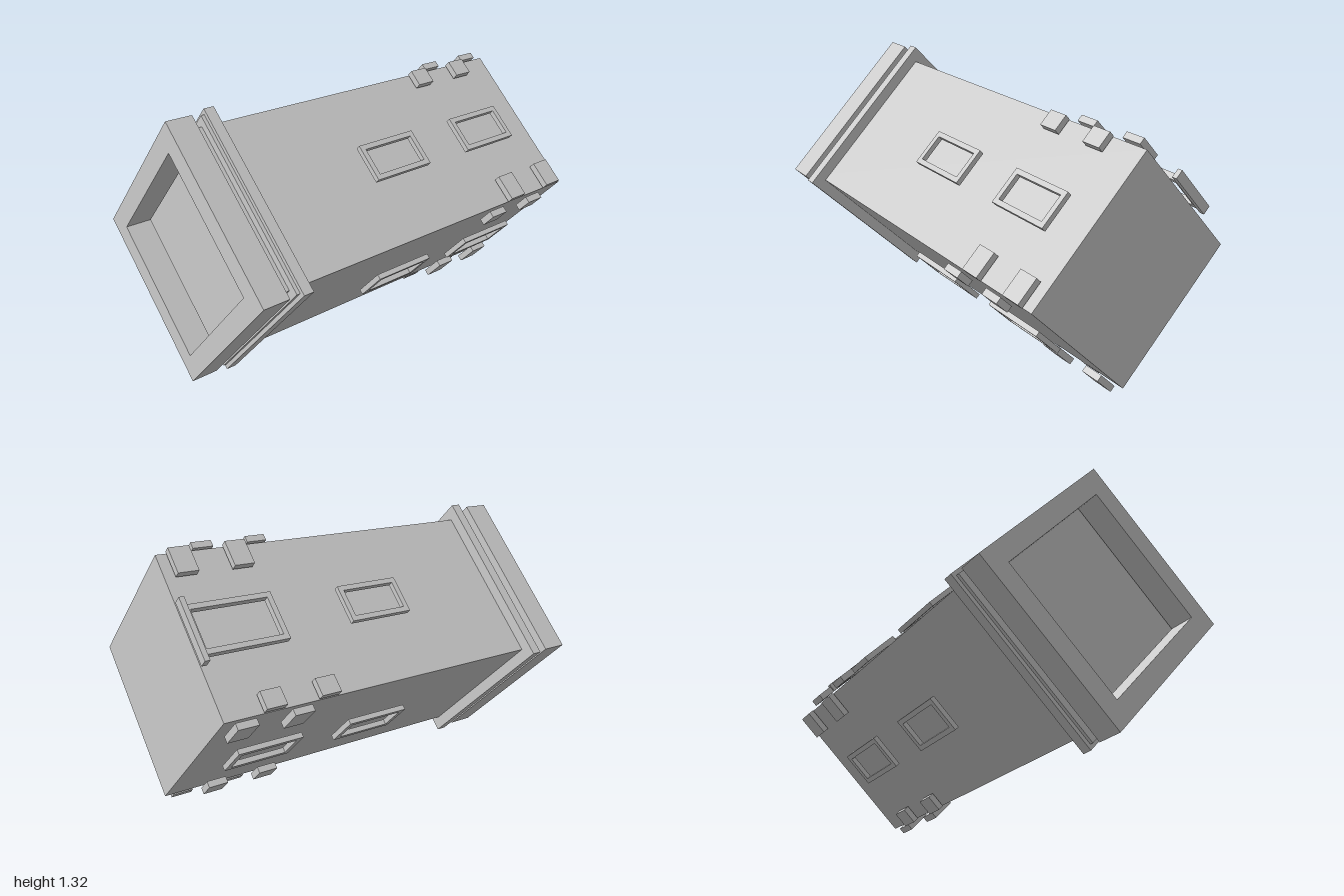
import * as THREE from 'three';

const material = new THREE.MeshStandardMaterial({ color: 0xcccccc, flatShading: true });

function add(parent, geometry, name) {
  const mesh = new THREE.Mesh(geometry, material);
  mesh.name = name;
  parent.add(mesh);
  return mesh;
}

// Box given by its ranges along x, y and z
function block(parent, name, [x0, x1], [y0, y1], [z0, z1]) {
  const mesh = add(parent, new THREE.BoxGeometry(x1 - x0, y1 - y0, z1 - z0), name);
  mesh.position.set((x0 + x1) / 2, (y0 + y1) / 2, (z0 + z1) / 2);
}

// Square slab centred on the tower axis
function slab(parent, name, side, z) {
  const h = side / 2;
  block(parent, name, [-h, h], [-h, h], z);
}

// Rectangular ring, extruded along z from 0 to depth
function ring(w, h, holeW, holeH, depth) {
  const rect = (Type, a, b) => new Type([
    new THREE.Vector2(-a / 2, -b / 2), new THREE.Vector2(a / 2, -b / 2),
    new THREE.Vector2(a / 2, b / 2), new THREE.Vector2(-a / 2, b / 2),
  ]);
  const shape = rect(THREE.Shape, w, h);
  shape.holes.push(rect(THREE.Path, holeW, holeH));
  return new THREE.ExtrudeGeometry(shape, { depth, bevelEnabled: false });
}

// Frame standing off a wall: wall normal is +x, height runs along z
function frame(wall, name, width, [z0, z1], border, depth) {
  const h = z1 - z0;
  const geometry = ring(width, h, width - 2 * border, h - 2 * border, depth)
    .rotateX(Math.PI / 2).rotateZ(Math.PI / 2);
  add(wall, geometry, name).position.set(0.434, 0, (z0 + z1) / 2);
}

export function createModel() {
  const model = new THREE.Group();
  model.name = 'towerLyingDown';

  // The tower's height runs along z and it is turned about that axis
  const tower = new THREE.Group();
  tower.name = 'tower';
  tower.position.y = 0.661;
  tower.rotation.z = THREE.MathUtils.degToRad(47.2);
  model.add(tower);

  slab(tower, 'body', 0.822, [-0.993, 0.853]);
  slab(tower, 'cornice', 0.934, [0.757, 0.808]);
  slab(tower, 'corniceLip', 0.895, [0.808, 0.825]);
  add(tower, ring(0.91, 0.91, 0.71, 0.71, 0.132), 'parapet').position.z = 0.868;

  for (let k = 0; k < 4; k++) {
    const wall = new THREE.Group();
    wall.name = 'wall' + (k + 1);
    wall.rotation.z = k * Math.PI / 2;
    tower.add(wall);

    // Upper window on every wall; the door replaces one lower window
    frame(wall, 'upperWindowFrame', 0.19, [-0.2, 0.143], 0.026, 0.026);
    if (k === 1) {
      frame(wall, 'doorFrame', 0.243, [-0.99, -0.56], 0.026, 0.031);
      block(wall, 'doorStep', [0.432, 0.478], [-0.155, 0.155], [-1, -0.975]);
    } else {
      frame(wall, 'lowerWindowFrame', 0.19, [-0.815, -0.472], 0.026, 0.026);
    }

    // Corner stones, alternating short and long around each corner
    for (const z of [-0.755, -0.475]) {
      block(wall, 'shortCornerStone', [0.422, 0.455], [0.325, 0.411], [z - 0.051, z + 0.051]);
    }
    for (const z of [-0.895, -0.615]) {
      block(wall, 'longCornerStone', [0.422, 0.455], [-0.414, -0.282], [z - 0.051, z + 0.051]);
    }
  }
  return model;
}
